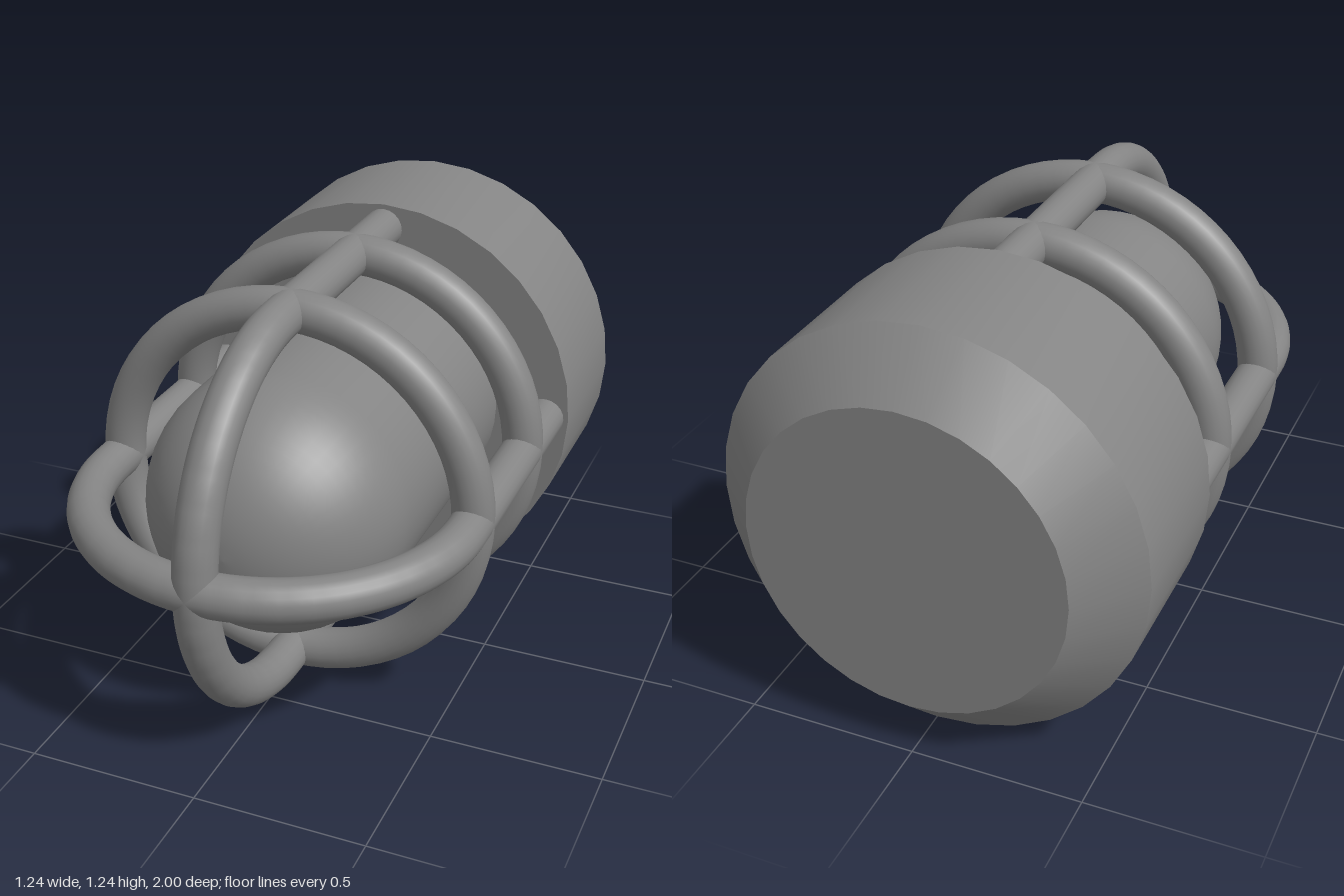
import * as THREE from 'three';
import { toCreasedNormals } from 'three/addons/utils/BufferGeometryUtils.js';

const AXIS_Y = 0.62;       // height of the lamp's axis
const BASE_FRONT = -0.38;  // front face of the base
const DOME_Z = 0.39;       // where the straight parts turn into domes
const CAGE_R = 0.544;      // radius to the centre of the cage bars
const BAR_R = 0.061;

export function createModel() {
  const model = new THREE.Group();
  const material = new THREE.MeshStandardMaterial({ color: 0x848484 });

  const add = (name, geometry, parent) => {
    const mesh = new THREE.Mesh(geometry, material);
    mesh.name = name;
    parent.add(mesh);
    return mesh;
  };

  // everything is built around the z axis, then lifted
  const lamp = new THREE.Group();
  lamp.name = 'bulkheadLamp';
  lamp.position.y = AXIS_Y;
  model.add(lamp);

  // turn a profile of [radius, z] pairs, listed back to front, around z
  const turned = (profile, segments) =>
    new THREE.LatheGeometry(profile.map(([r, z]) => new THREE.Vector2(r, z)), segments)
      .rotateX(Math.PI / 2);

  // base with chamfered back
  const base = turned([[0, -1], [0.46, -1], [0.62, -0.845], [0.62, BASE_FRONT], [0, BASE_FRONT]], 32);
  add('base', toCreasedNormals(base, 0.5), lamp);

  // glass: a tube closed by a hemisphere
  const glassR = 0.387;
  const glassProfile = [[glassR, BASE_FRONT - 0.02]];
  for (let i = 0; i <= 16; i++) {
    const a = (i / 16) * Math.PI / 2;
    glassProfile.push([glassR * Math.cos(a), DOME_Z + glassR * Math.sin(a)]);
  }
  add('glassDome', turned(glassProfile, 48), lamp);

  // protective cage
  const cage = new THREE.Group();
  cage.name = 'cage';
  lamp.add(cage);

  // U-shaped bar: straight leg, half circle over the dome, straight leg
  const path = [new THREE.Vector3(CAGE_R, 0, BASE_FRONT - 0.02)];
  for (let i = 0; i <= 40; i++) {
    const a = (i / 40) * Math.PI;
    path.push(new THREE.Vector3(CAGE_R * Math.cos(a), 0, DOME_Z + 0.005 + CAGE_R * Math.sin(a)));
  }
  path.push(new THREE.Vector3(-CAGE_R, 0, BASE_FRONT - 0.02));
  const bar = new THREE.CurvePath();
  for (let i = 1; i < path.length; i++) bar.add(new THREE.LineCurve3(path[i - 1], path[i]));
  const barGeometry = new THREE.TubeGeometry(bar, 120, BAR_R, 20, false);

  add('horizontalBar', barGeometry, cage);
  add('verticalBar', barGeometry, cage).rotation.z = Math.PI / 2;

  // rings tying the bars together
  const ringGeometry = new THREE.TorusGeometry(CAGE_R, BAR_R, 20, 64);
  [['frontRing', 0.32], ['rearRing', -0.145]].forEach(([name, z]) => {
    add(name, ringGeometry, cage).position.z = z;
  });

  return model;
}
